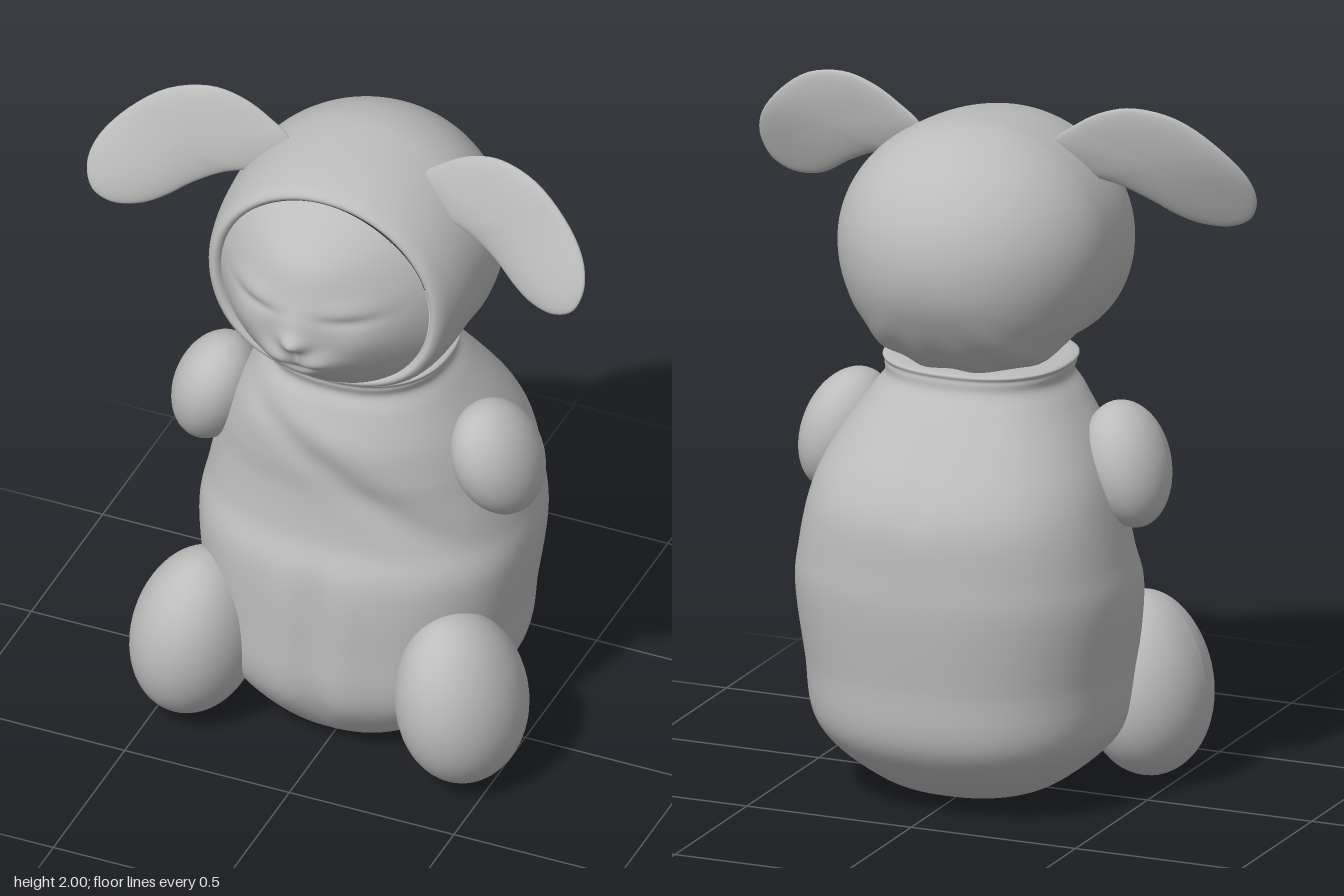
import * as THREE from 'three';

const TAU = Math.PI * 2;
const gauss = (d, w) => Math.exp(-(d * d) / (w * w));
const smooth = THREE.MathUtils.smoothstep;

// Smooth surface from closed rings: at(angle, v) returns [x, y, z]
function loft(nu, nv, at) {
  const pos = [], index = [];
  for (let j = 0; j <= nv; j++)
    for (let i = 0; i < nu; i++) pos.push(...at((i / nu) * TAU, j / nv));
  for (let j = 0; j < nv; j++)
    for (let i = 0; i < nu; i++) {
      const a = j * nu + i, b = j * nu + ((i + 1) % nu);
      index.push(a, b, a + nu, b, b + nu, a + nu);
    }
  const g = new THREE.BufferGeometry();
  g.setAttribute('position', new THREE.Float32BufferAttribute(pos, 3));
  g.setIndex(index);
  g.computeVertexNormals();
  return g;
}

// Sack body: rows of [height, half width, front z, back z]
function bodyGeometry() {
  const rows = [
    [0, 0.002, -0.01, -0.014], [0, 0.13, 0.13, -0.16], [0.05, 0.27, 0.23, -0.31],
    [0.2, 0.425, 0.325, -0.465], [0.4, 0.46, 0.335, -0.492], [0.6, 0.483, 0.325, -0.512],
    [0.72, 0.467, 0.285, -0.51], [0.85, 0.44, 0.27, -0.5], [0.95, 0.41, 0.275, -0.46],
    [1.05, 0.36, 0.275, -0.39], [1.15, 0.295, 0.25, -0.31], [1.2, 0.26, 0.225, -0.27],
    [1.235, 0.263, 0.232, -0.262], [1.257, 0.245, 0.215, -0.24], [1.26, 0.002, 0, -0.004],
  ];
  const size = new THREE.CatmullRomCurve3(rows.map(r => new THREE.Vector3(r[1], r[2], r[3])), false, 'catmullrom', 0.5);
  const rise = new THREE.CatmullRomCurve3(rows.map(r => new THREE.Vector3(0, r[0], 0)), false, 'catmullrom', 0.5);
  const bend = t => Math.sign(t) * Math.pow(Math.abs(t), 0.86);
  return loft(96, 112, (u, v) => {
    const s = size.getPoint(v), y = Math.max(0, rise.getPoint(v).y);
    const zc = (s.y + s.z) / 2, depth = (s.y - s.z) / 2;
    const c = bend(Math.cos(u)), n = bend(Math.sin(u));
    const x = s.x * c, front = smooth(-n, 0.1, 0.6), back = smooth(n, 0.2, 0.7);
    // diagonal drape, lower pleats and a back seam
    const d = (x + 0.2) * 0.56 + (y - 1.1) * 0.83;
    let k = -0.012 * gauss(d, 0.05) + 0.01 * gauss(d - 0.1, 0.07);
    k *= front * smooth(y, 0.5, 0.8) * (1 - smooth(y, 1.05, 1.18));
    const low = front * smooth(y, 0.06, 0.2) * (1 - smooth(y, 0.5, 0.72));
    k += low * (0.008 * gauss(Math.abs(x) - 0.09, 0.05) - 0.012 * gauss(x, 0.03));
    k -= back * 0.008 * gauss(x, 0.025) * smooth(y, 0.8, 0.9) * (1 - smooth(y, 1.05, 1.15));
    return [x, y, zc - (depth + k) * n];
  });
}

// Hood: rounded back, rolled rim around the face
function hoodGeometry() {
  const prof = new THREE.CatmullRomCurve3([
    [1, -0.04], [0.99, 0.05], [0.975, 0.14], [0.945, 0.205], [0.91, 0.245], [0.86, 0.262], [0.82, 0.252], [0.8, 0.225],
  ].map(p => new THREE.Vector3(p[0], 0, p[1])));
  return loft(120, 64, (u, v) => {
    let f, z;
    if (v < 0.6) {
      const a = (v / 0.6) * Math.PI / 2;
      f = Math.sin(a) + 0.0005;
      z = -0.04 - 0.39 * Math.cos(a);
    } else {
      const p = prof.getPoint((v - 0.6) / 0.4);
      f = p.x; z = p.z;
    }
    const c = Math.cos(u), t = smooth(z, 0, 0.25);
    let s = Math.sin(u), ry = 0.35 + 0.015 * t;
    // fuller underside, gathered in folds over the collar at the back
    const low = smooth(-s, 0.35, 0.9) * smooth(f, 0.45, 0.9) * (1 - smooth(z, -0.15, 0.02));
    if (s < 0) {
      s *= 1 + 0.15 * (1 - s * s);
      ry = 0.345;
    }
    const r = f * (1 + 0.018 * low * Math.cos(u * 14));
    return [0.39 * r * c, 1.59 - 0.025 * t + ry * r * s - 0.03 * low, z];
  });
}

// Face dome with sculpted nose, muzzle, mouth and closed eyes
function faceGeometry() {
  return loft(112, 64, (u, v) => {
    const r = 1 - v * 0.9995;
    const x = 0.316 * r * Math.cos(u), y = 1.565 + 0.306 * r * Math.sin(u), ax = Math.abs(x);
    let z = 0.25 + 0.212 * (1 - Math.pow(r, 2.15));
    z += 0.034 * gauss(y - 1.78, 0.09) * gauss(x, 0.2);                      // forehead
    z += 0.034 * gauss(x, 0.04) * gauss(y - 1.53, 0.028);                    // nose
    z += 0.016 * gauss(x, 0.05) * gauss(y - 1.57, 0.06);                     // bridge
    z += 0.034 * gauss(ax - 0.055, 0.065) * gauss(y - 1.455, 0.045);         // muzzle
    z += 0.016 * gauss(x, 0.06) * gauss(y - 1.395, 0.03);                    // lower lip
    z -= 0.012 * gauss(x, 0.016) * gauss(y - 1.475, 0.03);                   // lip cleft
    z -= 0.012 * gauss(ax - 0.03, 0.045) * gauss(y - 1.425 - 0.25 * ax, 0.014); // mouth
    z += 0.01 * gauss(ax - 0.18, 0.07) * gauss(y - 1.53, 0.06);              // cheeks
    z += 0.008 * gauss(ax - 0.15, 0.08) * gauss(y - 1.64, 0.03);             // eyelids
    z -= 0.009 * gauss(ax - 0.15, 0.08) * gauss(y - 1.603 - 0.8 * (ax - 0.15) ** 2, 0.016); // eye slits
    return [x, y, z];
  });
}

// Floppy ear: a leaning, slightly curled cushion swept from its outline
function earGeometry(side) {
  const outline = new THREE.CatmullRomCurve3([
    [0.2, 1.87], [0.27, 1.935], [0.35, 1.98], [0.44, 2.0], [0.56, 1.975], [0.67, 1.895],
    [0.74, 1.805], [0.755, 1.735], [0.73, 1.67], [0.67, 1.64], [0.59, 1.645], [0.53, 1.67],
    [0.46, 1.715], [0.38, 1.755], [0.27, 1.79],
  ].map(p => new THREE.Vector3(p[0], p[1], 0)), true);
  const cx = 0.51, cy = 1.83;
  return loft(64, 24, (u, v) => {
    const a = (v - 0.5) * Math.PI, s = Math.cos(a) + 0.0005;
    const t = u / TAU, p = outline.getPoint(side > 0 ? (1 - t) % 1 : t);
    const x = cx + (p.x - cx) * s, y = cy + (p.y - cy) * s;
    const curl = 0.03 * smooth(x, 0.4, 0.7) * smooth(2 - y, 0.1, 0.36);
    const z = 0.036 + 0.17 * (x - 0.44) + 0.25 * (2 - y) + curl + 0.028 * Math.sin(a);
    return [side * x, y, z];
  });
}

// Egg-shaped stuffed limb, fuller at the bottom for a positive egg value
function limbGeometry(rx, ry, rz, egg) {
  const g = new THREE.SphereGeometry(1, 48, 32), p = g.attributes.position;
  for (let i = 0; i < p.count; i++) {
    const y = p.getY(i), k = 1 - egg * y;
    p.setXYZ(i, p.getX(i) * rx * k, y * ry, p.getZ(i) * rz * k);
  }
  g.computeVertexNormals();
  return g;
}

export function createModel() {
  const model = new THREE.Group();
  model.name = 'plushRabbit';
  const grey = new THREE.MeshStandardMaterial({ color: 0xbcbcbc });
  grey.name = 'plainGrey';
  const add = (name, geometry) => {
    const mesh = new THREE.Mesh(geometry, grey);
    mesh.name = name;
    model.add(mesh);
    return mesh;
  };

  add('body', bodyGeometry());
  add('hood', hoodGeometry());
  add('face', faceGeometry());

  // Mirrored ears, arms and legs
  for (const [label, s] of [['left', 1], ['right', -1]]) {
    add(label + 'Ear', earGeometry(s));
    const arm = add(label + 'Arm', limbGeometry(0.117, 0.181, 0.148, -0.04));
    arm.position.set(s * 0.43, 0.966, 0.025);
    arm.rotation.set(0.28, 0, s * 0.33);
    const leg = add(label + 'Leg', limbGeometry(0.178, 0.262, 0.218, 0.06));
    leg.position.set(s * 0.402, 0.27, 0.224);
    leg.rotation.set(0.12, 0, s * 0.15);
  }
  return model;
}
